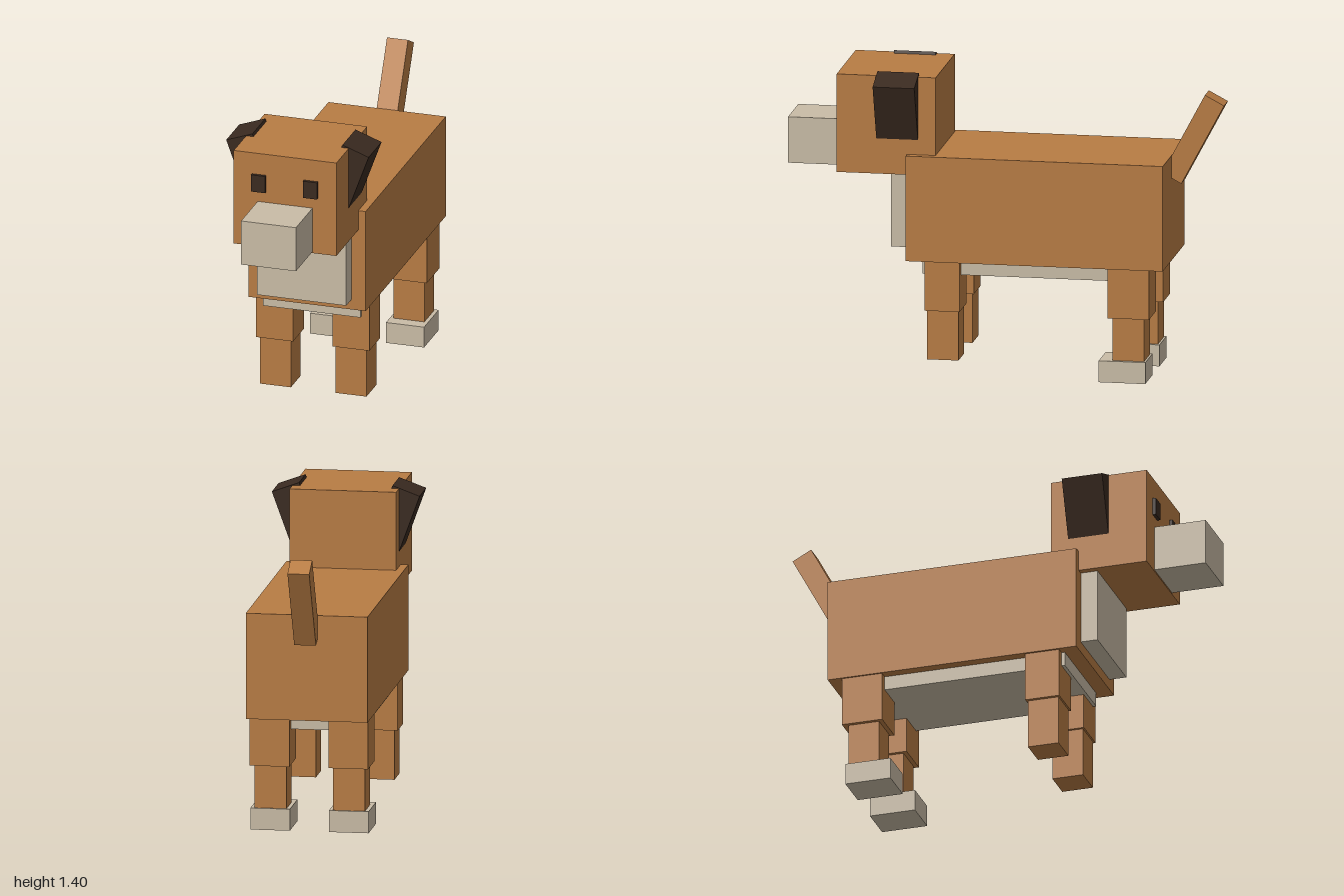
import * as THREE from 'three';

const mat = (name, color) => {
  const m = new THREE.MeshStandardMaterial({ color });
  m.name = name;
  return m;
};

export function createModel() {
  const dog = new THREE.Group();
  dog.name = 'dog';
  const tan = mat('tan fur', 0xb87c44);
  const cream = mat('cream fur', 0xc9bca6);
  const dark = mat('dark brown', 0x3a2a20);

  // Box given by its extents along x, y and z
  const box = (name, material, [x0, x1], [y0, y1], [z0, z1]) => {
    const mesh = new THREE.Mesh(new THREE.BoxGeometry(x1 - x0, y1 - y0, z1 - z0), material);
    mesh.position.set((x0 + x1) / 2, (y0 + y1) / 2, (z0 + z1) / 2);
    mesh.name = name;
    dog.add(mesh);
    return mesh;
  };

  // Trunk
  box('body', tan, [-0.28, 0.28], [0.53, 1.02], [-0.757, 0.43]);
  box('chest', cream, [-0.213, 0.213], [0.58, 0.95], [0.4, 0.51]);
  box('belly', cream, [-0.232, 0.232], [0.465, 0.55], [-0.64, 0.36]);

  // Head
  box('head', tan, [-0.245, 0.245], [0.925, 1.382], [0.298, 0.755]);
  box('muzzle', cream, [-0.131, 0.131], [0.932, 1.146], [0.74, 1]);

  // Tail, leaning back
  const tail = box('tail', tan, [-0.05, 0.05], [0.888, 1.308], [-0.906, -0.806]);
  tail.rotation.x = THREE.MathUtils.degToRad(-28);

  for (const s of [1, -1]) {
    const side = s > 0 ? 'left' : 'right';
    const mx = (a, b) => (s > 0 ? [a, b] : [-b, -a]);

    box(side + 'Eye', dark, mx(0.09, 0.157), [1.197, 1.279], [0.745, 0.77]);

    // Ear tilted outward, its lower end sunk into the head
    const ear = box(side + 'Ear', dark, mx(0.1545, 0.2875), [1.0525, 1.3825], [0.38, 0.572]);
    ear.rotation.z = THREE.MathUtils.degToRad(-20 * s);

    // Front leg
    box(side + 'FrontUpperLeg', tan, mx(0.094, 0.27), [0.3, 0.54], [0.183, 0.345]);
    box(side + 'FrontLowerLeg', tan, mx(0.107, 0.254), [0.07, 0.31], [0.191, 0.337]);

    // Hind leg with paw
    box(side + 'HindUpperLeg', tan, mx(0.09, 0.272), [0.3, 0.54], [-0.692, -0.5]);
    box(side + 'HindLowerLeg', tan, mx(0.107, 0.254), [0.09, 0.31], [-0.666, -0.52]);
    box(side + 'HindPaw', cream, mx(0.09, 0.272), [0, 0.1], [-0.675, -0.46]);
  }
  return dog;
}
